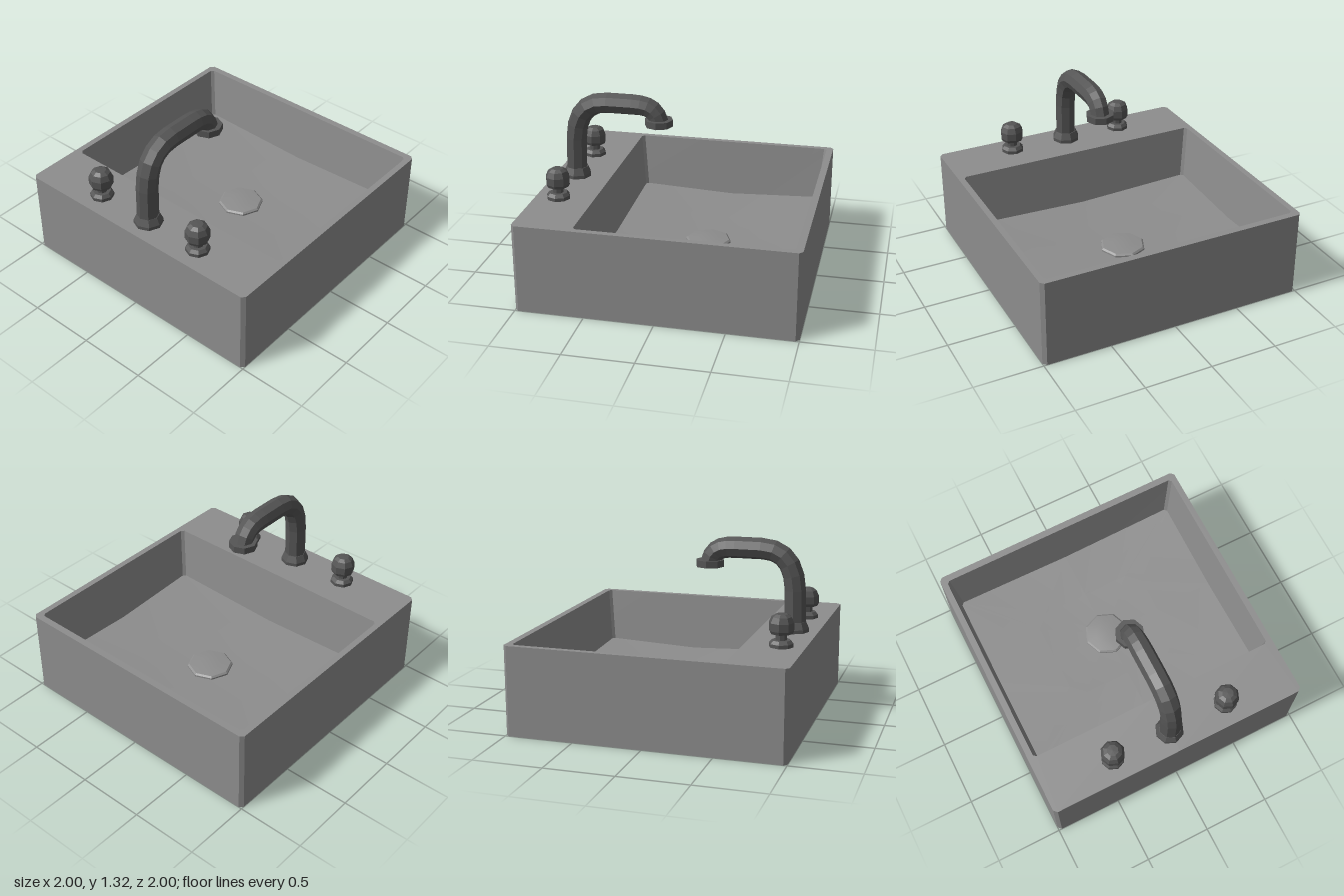
import * as THREE from 'three';
import { toCreasedNormals } from 'three/addons/utils/BufferGeometryUtils.js';

const SIDES = 8;
const stone = new THREE.MeshStandardMaterial({ color: 0x8d8d8d });
const metal = new THREE.MeshStandardMaterial({ color: 0x555555, flatShading: true });

// Skin a list of closed rings, each an array of [x, y, z]
function loft(rings) {
  const pos = [];
  const n = rings[0].length;
  for (let i = 0; i < rings.length - 1; i++) {
    for (let k = 0; k < n; k++) {
      const a = rings[i][k], b = rings[i][(k + 1) % n];
      const c = rings[i + 1][(k + 1) % n], d = rings[i + 1][k];
      pos.push(...a, ...b, ...c, ...a, ...c, ...d);
    }
  }
  const g = new THREE.BufferGeometry();
  g.setAttribute('position', new THREE.Float32BufferAttribute(pos, 3));
  g.computeVertexNormals();
  return g;
}

// Rectangle with cut corners and side midpoints; corners may sit at another height
function rectRing(x0, x1, z, cut, yMid, yCorner = yMid) {
  const m = (x0 + x1) / 2;
  return [
    [x1, yMid, 0], [x1, yCorner, -z + cut], [x1 - cut, yCorner, -z],
    [m, yMid, -z], [x0 + cut, yCorner, -z], [x0, yCorner, -z + cut],
    [x0, yMid, 0], [x0, yCorner, z - cut], [x0 + cut, yCorner, z],
    [m, yMid, z], [x1 - cut, yCorner, z], [x1, yCorner, z - cut],
  ];
}

// Eight-sided turned part from a [radius, height] profile, bottom to top
function turned(name, profile, x, y, z, material = metal) {
  const pts = profile.map(([r, h]) => new THREE.Vector2(r, h));
  const geometry = toCreasedNormals(new THREE.LatheGeometry(pts, SIDES), 0.5);
  const mesh = new THREE.Mesh(geometry, material);
  mesh.name = name;
  mesh.position.set(x, y, z);
  return mesh;
}

export function createModel() {
  const model = new THREE.Group();
  model.name = 'sink';

  // Block with sloped basin walls and a gently dished floor
  const rings = [
    rectRing(0, 0, 0, 0, 0),
    rectRing(-1, 1, 1, 0.025, 0),
    rectRing(-1, 1, 1, 0.025, 0.65),
    rectRing(-0.57, 0.95, 0.955, 0.02, 0.65),
    rectRing(-0.53, 0.91, 0.91, 0.02, 0.217, 0.248),
    rectRing(-0.18, 0.55, 0.45, 0.1, 0.205, 0.21),
    rectRing(0.18, 0.18, 0, 0, 0.2),
  ];
  const basin = new THREE.Mesh(toCreasedNormals(loft(rings), 0.5), stone);
  basin.name = 'basin';
  model.add(basin);

  // Domed drain cover
  const cover = [[0.17, 0.18], [0.17, 0.215], [0.157, 0.226], [0.08, 0.234], [0, 0.237]];
  model.add(turned('drain', cover, 0.18, 0, 0, stone));

  // Spout: octagonal tube swept along an arched path, one edge along its top
  const path = new THREE.CurvePath();
  const v = (x, y) => new THREE.Vector3(x, y, 0);
  path.add(new THREE.LineCurve3(v(-0.833, 0.67), v(-0.828, 0.95)));
  path.add(new THREE.CubicBezierCurve3(v(-0.828, 0.95), v(-0.818, 1.14), v(-0.74, 1.238), v(-0.58, 1.238)));
  path.add(new THREE.LineCurve3(v(-0.58, 1.238), v(-0.39, 1.238)));
  path.add(new THREE.CubicBezierCurve3(v(-0.39, 1.238), v(-0.28, 1.238), v(-0.22, 1.22), v(-0.195, 1.12)));
  const steps = [1, 5, 1, 5];
  const tubeRings = [];
  path.curves.forEach((curve, c) => {
    for (let i = c ? 1 : 0; i <= steps[c]; i++) {
      const t = i / steps[c];
      const p = curve.getPoint(t), d = curve.getTangent(t);
      const r = c === 3 ? 0.078 - 0.006 * t : 0.078;
      const ring = [];
      for (let k = 0; k < SIDES; k++) {
        const a = (k / SIDES) * Math.PI * 2;
        const n = r * Math.cos(a);
        ring.push([p.x + n * d.y, p.y - n * d.x, -r * Math.sin(a)]);
      }
      tubeRings.push(ring);
    }
  });
  const spout = new THREE.Mesh(loft(tubeRings), metal);
  spout.name = 'spout';
  model.add(spout);
  model.add(turned('spoutBase', [[0.105, 0], [0.105, 0.025], [0.082, 0.075], [0, 0.075]], -0.83, 0.65, 0));
  model.add(turned('spoutNozzle', [[0, 0], [0.105, 0], [0.105, 0.05], [0, 0.05]], -0.195, 1.09, 0));

  // Pair of tap handles: foot, neck and knob
  const handle = [
    [0.086, 0], [0.086, 0.025], [0.066, 0.047], [0.04, 0.047], [0.04, 0.093],
    [0.078, 0.093], [0.088, 0.115], [0.088, 0.17], [0.07, 0.21], [0.042, 0.228], [0, 0.23],
  ];
  for (const side of [-1, 1]) {
    model.add(turned(side < 0 ? 'backHandle' : 'frontHandle', handle, -0.83, 0.65, side * 0.457));
  }
  return model;
}
